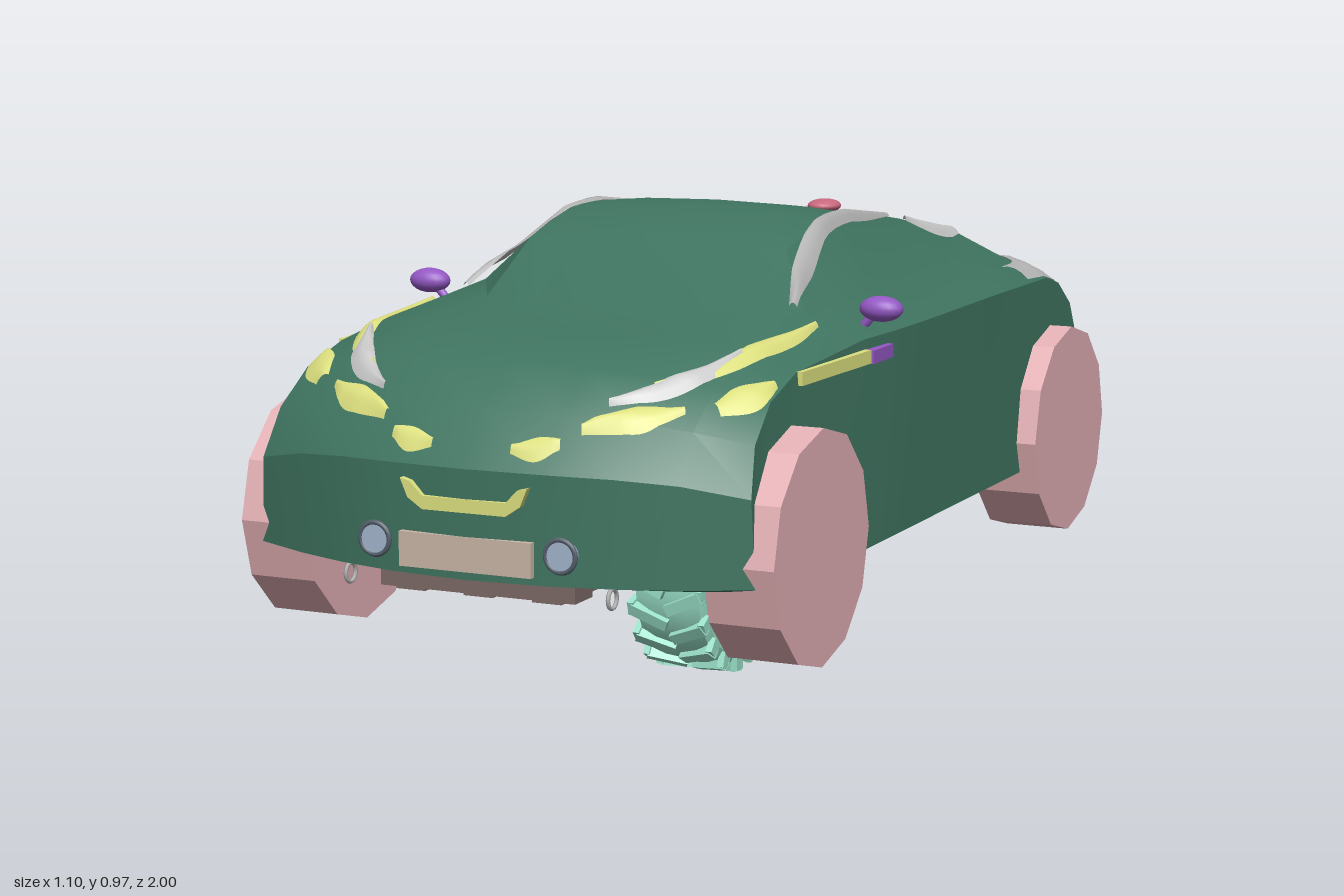
import * as THREE from 'three';
import { toCreasedNormals } from 'three/addons/utils/BufferGeometryUtils.js';

const mat = (color, extra = {}) => new THREE.MeshStandardMaterial({ color, ...extra });
const GREEN = mat(0x3f7460, { side: THREE.DoubleSide });
const PINK = mat(0xe3b0b5, { flatShading: true });
const MINT = mat(0x9ae0c8, { side: THREE.DoubleSide });
const MAGENTA = mat(0xb8478a, { side: THREE.DoubleSide });
const YELLOW = mat(0xdde07f, { side: THREE.DoubleSide });
const WHITE = mat(0xe6e6e6, { side: THREE.DoubleSide });
const GREY = mat(0xb4b4b4, { side: THREE.DoubleSide });
const PURPLE = mat(0x9458c4);
const BROWN = mat(0x7d6966);
const BEIGE = mat(0xc9b6a6);
const BLUE = mat(0xa3b4cc);
const ROSE = mat(0xc9687f);
const DARK = mat(0x55606c);

// Body cross-sections: z at centre, z at flank, heights of centre, roof edge and shoulder, belt x and y
const STATIONS = [
  [1.0, 0.86, 0.6, 0.595, 0.585, 0.505, 0.56],
  [0.93, 0.81, 0.7, 0.69, 0.673, 0.492, 0.65],
  [0.82, 0.72, 0.77, 0.757, 0.74, 0.484, 0.715],
  [0.65, 0.6, 0.81, 0.805, 0.793, 0.48, 0.75],
  [0.42, 0.29, 0.82, 0.82, 0.812, 0.49, 0.77],
  [0.2, 0.17, 0.935, 0.917, 0.823, 0.5, 0.77],
  [0.02, 0.02, 0.975, 0.96, 0.83, 0.505, 0.77],
  [-0.1, -0.1, 0.975, 0.96, 0.83, 0.505, 0.77],
  [-0.4, -0.4, 0.933, 0.918, 0.82, 0.505, 0.77],
  [-0.74, -0.72, 0.872, 0.855, 0.807, 0.5, 0.765],
  [-0.84, -0.8, 0.81, 0.8, 0.783, 0.5, 0.745],
  [-0.935, -0.88, 0.725, 0.718, 0.711, 0.5, 0.69],
  [-1.0, -0.94, 0.59, 0.585, 0.58, 0.505, 0.565],
];

function bodyGeometry() {
  const pos = [], idx = [], N = 18;
  for (const [zc, ze, top, edge, shoulder, beltX, beltY] of STATIONS) {
    // the floor rises towards nose and tail
    const floor = 0.37 + Math.max(0, Math.abs(zc) - 0.87) * (zc > 0 ? 0.2 : 0.42);
    const upper = [[0, top], [0.16, top * 0.75 + edge * 0.25], [0.28, edge], [0.39, shoulder], [beltX, beltY]];
    const half = [...upper, ...[0.512, 0.39, 0.28, 0.16, 0].map(x => [x, floor])];
    const ring = [...half, ...half.slice(1, 9).reverse().map(([x, y]) => [-x, y])];
    for (const [x, y] of ring) pos.push(x, y, zc + (ze - zc) * (x / 0.51) ** 2);
  }
  const last = (STATIONS.length - 1) * N;
  for (let s = 0; s < last; s += N) {
    for (let j = 0; j < N; j++) {
      const a = s + j, b = s + (j + 1) % N;
      idx.push(a, b, a + N, b, b + N, a + N);
    }
  }
  // bowed nose and tail panels
  for (const base of [0, last]) for (const side of [1, -1]) for (let j = 0; j < 4; j++) {
    const [t, b, t2, b2] = [j, 9 - j, j + 1, 8 - j].map(k => base + (side > 0 ? k : (N - k) % N));
    if ((base === 0) === (side > 0)) idx.push(t, b, t2, b, b2, t2);
    else idx.push(t, t2, b, b, t2, b2);
  }
  const g = new THREE.BufferGeometry();
  g.setAttribute('position', new THREE.Float32BufferAttribute(pos, 3));
  g.setIndex(idx);
  return toCreasedNormals(g, 0.45);
}

export function createModel() {
  const car = new THREE.Group();
  car.name = 'car';
  const add = (name, geo, material, x = 0, y = 0, z = 0, parent = car) => {
    const m = new THREE.Mesh(geo, material);
    m.name = name;
    m.position.set(x, y, z);
    parent.add(m);
    return m;
  };
  const box = (w, h, d) => new THREE.BoxGeometry(w, h, d);
  const ball = (x, y, z) => new THREE.SphereGeometry(1, 20, 12).scale(x, y, z);

  const body = add('body', bodyGeometry(), GREEN);
  const ray = new THREE.Raycaster();
  const heightAt = (x, z) => {
    ray.set(new THREE.Vector3(x, 2, z), new THREE.Vector3(0, -1, 0));
    const hit = ray.intersectObject(body)[0];
    return hit ? hit.point.y : 0.6;
  };

  // Trim strip laid on the bodywork; points are [x, z, half width], mirrored to both sides
  function strip(name, material, points, lift = 0.008) {
    const curve = new THREE.CatmullRomCurve3(points.map(([x, z, w]) => new THREE.Vector3(x, w, z)));
    const steps = 20, across = 4;
    for (const side of [1, -1]) {
      const pos = [], idx = [];
      for (let i = 0; i <= steps; i++) {
        const p = curve.getPoint(i / steps), t = curve.getTangent(i / steps);
        const len = Math.hypot(t.x, t.z);
        for (let k = 0; k <= across; k++) {
          const v = k / across * 2 - 1;
          const x = Math.min(p.x + t.z / len * p.y * v, 0.495), z = p.z - t.x / len * p.y * v;
          pos.push(side * x, heightAt(x, z) + lift * (1.2 - v * v), z);
          if (i < steps && k < across) {
            const a = i * (across + 1) + k, b = a + across + 1;
            // strips run rearwards or forwards, so the winding follows the path direction
            const flip = (side > 0) === (points[0][1] > points[points.length - 1][1]);
            if (flip) idx.push(a, a + 1, b, a + 1, b + 1, b);
            else idx.push(a, b, a + 1, a + 1, b, b + 1);
          }
        }
      }
      const g = new THREE.BufferGeometry();
      g.setAttribute('position', new THREE.Float32BufferAttribute(pos, 3));
      g.setIndex(idx);
      g.computeVertexNormals();
      add(name, g, material);
    }
  }
  strip('fenderTrim', YELLOW, [[0.415, 0.36, 0.006], [0.415, 0.5, 0.018], [0.4, 0.64, 0.02], [0.36, 0.74, 0.014], [0.29, 0.81, 0.004]]);
  strip('outerHeadlight', YELLOW, [[0.47, 0.68, 0.008], [0.45, 0.74, 0.028], [0.41, 0.8, 0.012]]);
  strip('headlight', YELLOW, [[0.36, 0.83, 0.006], [0.3, 0.875, 0.022], [0.2, 0.925, 0.006]]);
  strip('innerHeadlight', YELLOW, [[0.17, 0.95, 0.006], [0.13, 0.962, 0.014], [0.08, 0.968, 0.005]]);
  strip('hoodTrim', WHITE, [[0.39, 0.65, 0.006], [0.35, 0.75, 0.022], [0.3, 0.82, 0.018], [0.23, 0.875, 0.004]], 0.012);
  strip('pillarTrim', GREY, [[0.355, 0.33, 0.008], [0.32, 0.2, 0.018], [0.287, 0.03, 0.016], [0.277, -0.2, 0.014], [0.27, -0.36, 0.008]]);
  strip('rearPillarTrim', WHITE, [[0.28, -0.44, 0.004], [0.285, -0.57, 0.02], [0.28, -0.7, 0.018], [0.26, -0.84, 0.008]]);
  strip('tailLight', GREY, [[0.46, -0.63, 0.03], [0.455, -0.74, 0.04], [0.41, -0.83, 0.08], [0.34, -0.92, 0.055]], 0.01);

  // Grille and plate
  const rightHalf = [[0.085, 0.545], [0.11, 0.57], [0.13, 0.575], [0.115, 0.54], [0.085, 0.52]];
  const leftHalf = rightHalf.map(([x, y]) => [-x, y]).reverse();
  const mouth = new THREE.Shape([...rightHalf, ...leftHalf].map(p => new THREE.Vector2(...p)));
  add('grille', new THREE.ExtrudeGeometry(mouth, { depth: 0.04, bevelEnabled: false }), YELLOW, 0, 0, 0.963);
  add('frontPlate', box(0.27, 0.065, 0.035), BEIGE, 0, 0.443, 0.984);

  // Parts on each side
  for (const s of [1, -1]) {
    add('fogLight', new THREE.CylinderGeometry(0.027, 0.027, 0.03, 20).rotateX(Math.PI / 2), BLUE, s * 0.19, 0.455, 0.98);
    add('fogLightRing', new THREE.TorusGeometry(0.03, 0.005, 8, 24), DARK, s * 0.19, 0.455, 0.992);
    add('towHook', new THREE.TorusGeometry(0.018, 0.004, 6, 16).rotateY(Math.PI / 2), GREY, s * 0.27, 0.375, 0.945);
    add('sideTrim', box(0.022, 0.026, 0.3), YELLOW, s * 0.487, 0.738, 0.45).rotation.y = -s * 0.05;
    add('doorHandle', box(0.026, 0.026, 0.1), PURPLE, s * 0.498, 0.737, 0.25);
    add('mirror', ball(0.044, 0.025, 0.03), PURPLE, s * 0.495, 0.82, 0.225);
    const arm = new THREE.LineCurve3(new THREE.Vector3(s * 0.45, 0.775, 0.225), new THREE.Vector3(s * 0.48, 0.81, 0.225));
    add('mirrorArm', new THREE.TubeGeometry(arm, 1, 0.009, 8), PURPLE);
    for (const z of [0.645, -0.743]) {
      add('wheel', new THREE.CylinderGeometry(0.224, 0.224, 0.14, 12).rotateZ(Math.PI / 2), PINK, s * 0.482, 0.435, z);
    }
  }
  add('roofCap', ball(0.034, 0.014, 0.04), ROSE, 0.18, 0.957, -0.24);

  // Skid plates under nose and tail
  const front = new THREE.Group();
  front.name = 'frontSkidPlate';
  car.add(front);
  add('crossBar', box(0.4, 0.04, 0.07), BROWN, 0, 0.38, 0.92, front);
  add('rearBar', box(0.34, 0.025, 0.05), BROWN, 0, 0.366, 0.76, front);
  for (const x of [-0.14, 0, 0.14]) add('finger', box(0.06, 0.03, 0.3), BROWN, x, 0.37, 0.8, front);
  const rear = new THREE.Group();
  rear.name = 'rearSkidPlate';
  car.add(rear);
  for (const s of [1, -1]) add('leg', box(0.05, 0.025, 0.32), BROWN, s * 0.1, 0.362, -0.74, rear).rotation.y = s * 0.2;
  for (const [w, z] of [[0.16, -0.87], [0.2, -0.7]]) add('bar', box(w, 0.025, 0.06), BROWN, 0, 0.362, z, rear);

  // Lugged wheel beneath the middle; profiles are mirrored halves of [radius, offset]
  const spare = new THREE.Group();
  spare.name = 'centreWheel';
  spare.position.set(0, 0.214, -0.047);
  car.add(spare);
  const lathe = half => {
    const pts = [...half, ...half.map(([r, h]) => [r, -h]).reverse()].map(p => new THREE.Vector2(...p));
    return toCreasedNormals(new THREE.LatheGeometry(pts, 40).rotateZ(Math.PI / 2), 0.6);
  };
  add('tyre', lathe([[0.138, -0.06], [0.145, -0.072], [0.175, -0.078], [0.193, -0.07], [0.2, -0.04]]), MINT, 0, 0, 0, spare);
  add('rim', lathe([[0, -0.045], [0.085, -0.045], [0.09, -0.035], [0.105, -0.035], [0.118, -0.062], [0.14, -0.07]]),
    MAGENTA, 0, 0, 0, spare);
  for (let i = 0; i < 18; i++) for (const s of [1, -1]) {
    const lug = new THREE.Group();
    lug.name = 'lug';
    lug.rotation.x = (i + (s > 0 ? 0 : 0.5)) / 18 * Math.PI * 2;
    spare.add(lug);
    add('treadBlock', box(0.085, 0.02, 0.024), MINT, s * 0.041, 0.202, 0, lug).rotation.y = s * 0.42;
    add('shoulderBlock', box(0.014, 0.034, 0.03), MINT, s * 0.077, 0.192, -0.016, lug);
  }
  return car;
}
